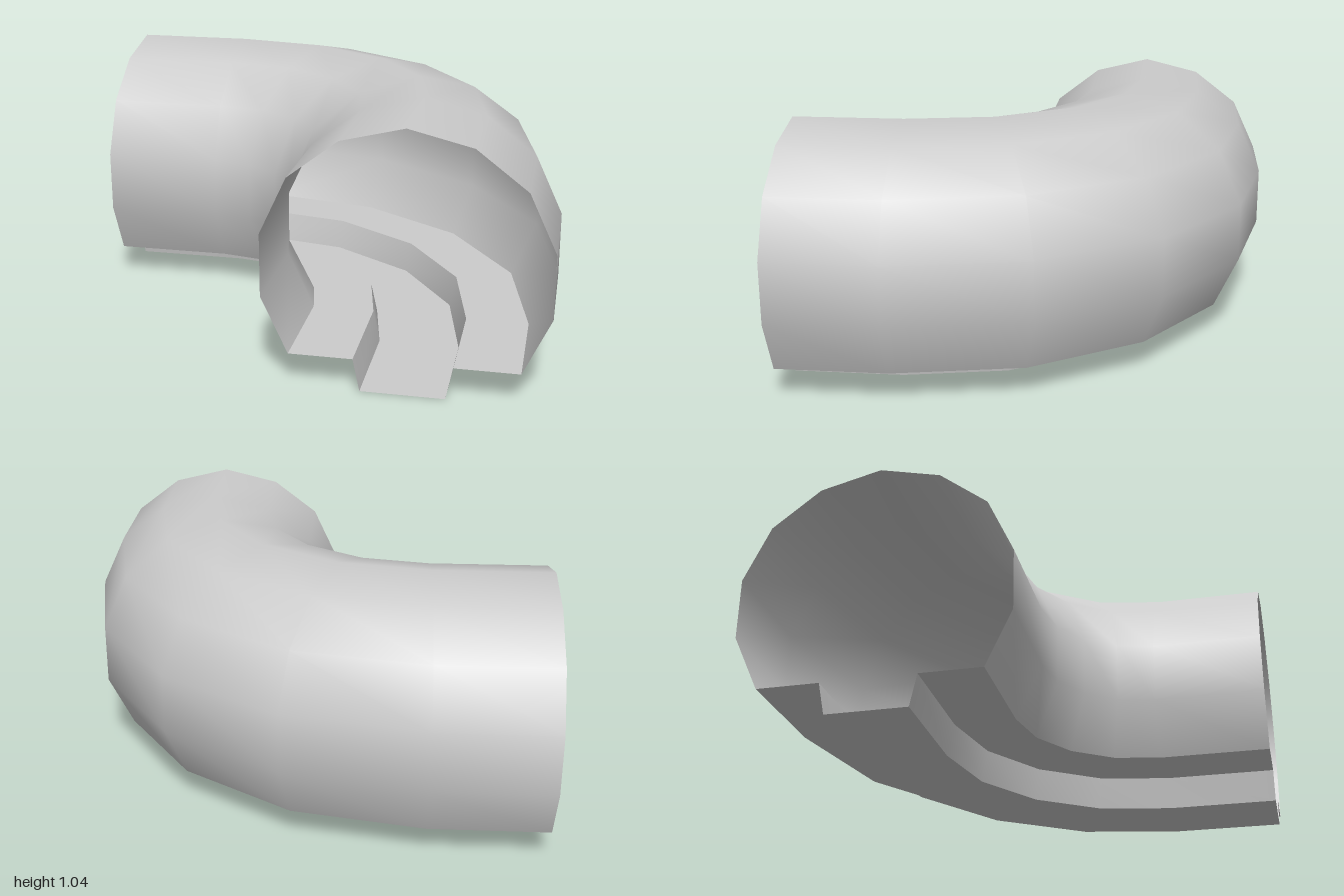
import * as THREE from 'three';
import { toCreasedNormals } from 'three/addons/utils/BufferGeometryUtils.js';

// Closed cross-section: [outward offset from the centreline, height]
function makeSection() {
  const half = [[0.245, 0.98], [0.44, 0.83], [0.545, 0.605], [0.545, 0.355],
    [0.44, 0.13], [0.19, 0.13], [0.163, 0]];
  const mirrored = half.map(([o, y]) => [-o, y]).reverse();
  return [[0, 1.04], ...half, ...mirrored];
}

// Stations along the centreline: straight arm, quarter bend, straight arm
function makeStations() {
  const cx = -0.515, cz = 0.515, rx = 0.97, rz = 0.94, steps = 4;
  const stations = [{ x: cx + rx, z: 0.97, nx: 1, nz: 0 }];
  for (let i = 0; i <= steps; i++) {
    const a = (i / steps) * Math.PI / 2;
    const nx = Math.cos(a), nz = -Math.sin(a);
    stations.push({ x: cx + rx * nx, z: cz + rz * nz, nx, nz });
  }
  stations.push({ x: -1, z: cz - rz, nx: 0, nz: -1 });
  return stations;
}

// Skin the section along the stations, leaving both ends open
function sweep(section, stations) {
  const positions = [], indices = [], n = section.length;
  for (const s of stations) {
    for (const [o, y] of section) positions.push(s.x + o * s.nx, y, s.z + o * s.nz);
  }
  for (let i = 0; i < stations.length - 1; i++) {
    for (let j = 0; j < n; j++) {
      const k = (j + 1) % n;
      const a = i * n + j, b = i * n + k, c = a + n, d = b + n;
      indices.push(a, b, d, a, d, c);
    }
  }
  const geometry = new THREE.BufferGeometry();
  geometry.setAttribute('position', new THREE.Float32BufferAttribute(positions, 3));
  geometry.setIndex(indices);
  return toCreasedNormals(geometry, 0.65);
}

export function createModel() {
  const group = new THREE.Group();
  group.name = 'curvedTunnel';

  // Thin open shell with a sunken channel along its floor
  const shell = new THREE.Mesh(
    sweep(makeSection(), makeStations()),
    new THREE.MeshStandardMaterial({ color: 0xcccccc, side: THREE.DoubleSide })
  );
  shell.name = 'tunnelShell';
  group.add(shell);
  return group;
}
